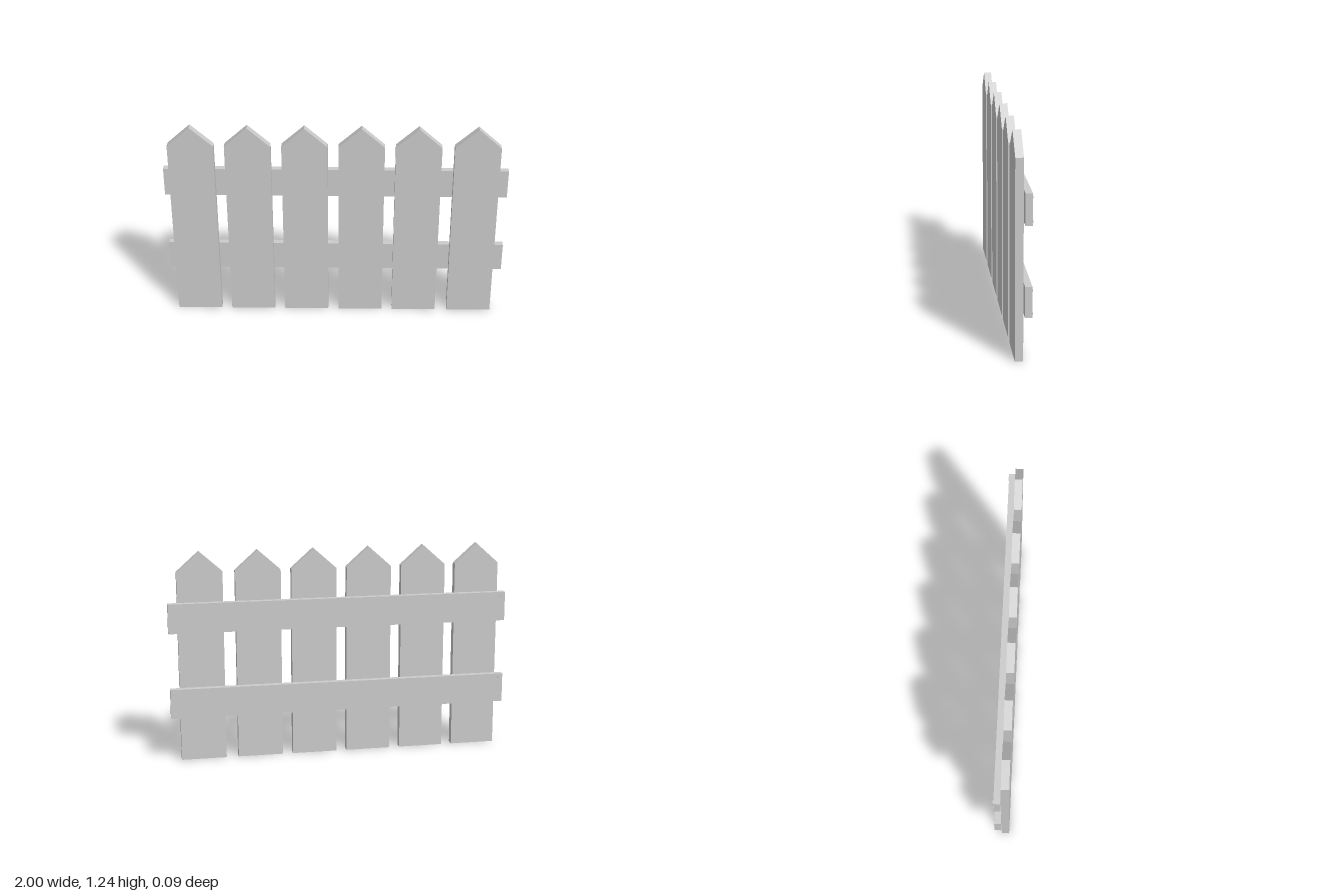
import * as THREE from 'three';

const wood = new THREE.MeshStandardMaterial({ color: 0xcccccc });
const nailMaterial = new THREE.MeshStandardMaterial({ color: 0xcccccc });

function addMesh(parent, name, geometry, x, y, z) {
  const mesh = new THREE.Mesh(geometry, wood);
  mesh.name = name;
  mesh.position.set(x, y, z);
  parent.add(mesh);
  return mesh;
}

// Pointed board outline, extruded towards the front
function picketGeometry(width, shoulder, peak, depth) {
  const h = width / 2;
  const outline = new THREE.Shape([
    new THREE.Vector2(-h, 0),
    new THREE.Vector2(h, 0),
    new THREE.Vector2(h, shoulder),
    new THREE.Vector2(0, peak),
    new THREE.Vector2(-h, shoulder),
  ]);
  return new THREE.ExtrudeGeometry(outline, { depth, bevelEnabled: false });
}

export function createModel() {
  const fence = new THREE.Group();
  fence.name = 'picketFence';

  // Six pickets, the outer ones set slightly apart
  const picket = picketGeometry(0.264, 1.117, 1.235, 0.045);
  for (const x of [-0.829, -0.503, -0.177, 0.149, 0.475, 0.811]) {
    addMesh(fence, 'picket', picket, x, 0, 0);
  }

  // Two rails behind the pickets, with a pair of nails at each end
  const railGeometry = new THREE.BoxGeometry(2, 0.173, 0.038);
  const nailGeometry = new THREE.CylinderGeometry(0.01, 0.01, 0.008, 16).rotateX(Math.PI / 2);
  for (const y of [0.354, 0.858]) {
    const railGroup = new THREE.Group();
    railGroup.name = 'rail';
    railGroup.position.y = y;
    fence.add(railGroup);
    addMesh(railGroup, 'railBoard', railGeometry, 0, 0, -0.021);
    for (const sx of [-1, 1]) {
      for (const sy of [-1, 1]) {
        addMesh(railGroup, 'nailHead', nailGeometry, sx * 0.98, sy * 0.065, -0.04).material = nailMaterial;
      }
    }
  }

  return fence;
}
